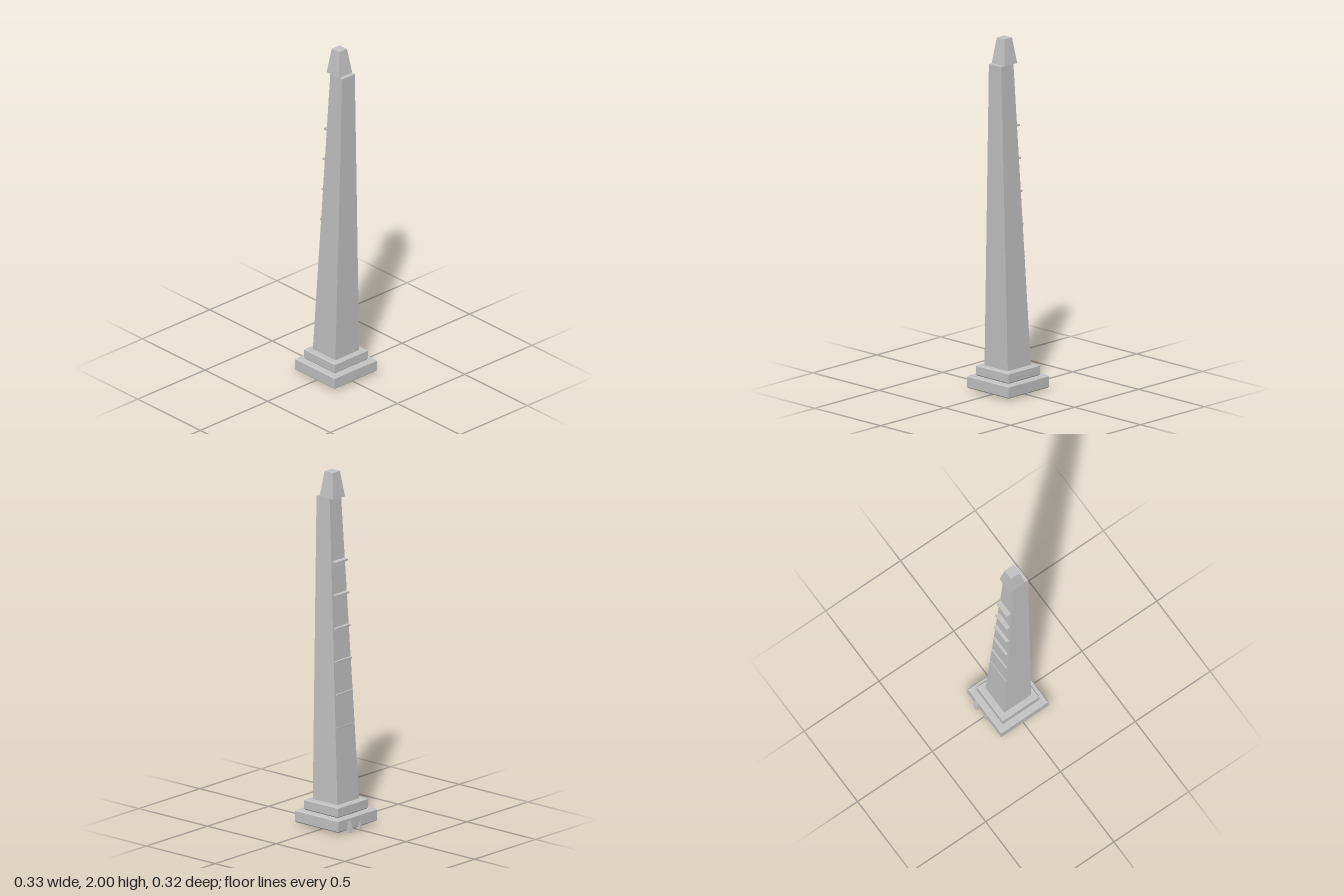
import * as THREE from 'three';

const stone = new THREE.MeshStandardMaterial({ color: 0xc4c4c4, flatShading: true });
stone.name = 'pale stone';

// Loft through rectangular sections [y, xMin, xMax, zMin, zMax], closed at both ends
function loft(name, sections) {
  const pos = [], idx = [];
  for (const [y, x0, x1, z0, z1] of sections) pos.push(x0, y, z1, x1, y, z1, x1, y, z0, x0, y, z0);
  for (let s = 0; s < sections.length - 1; s++) {
    for (let i = 0; i < 4; i++) {
      const a = s * 4 + i, b = s * 4 + (i + 1) % 4;
      idx.push(a, b, b + 4, a, b + 4, a + 4);
    }
  }
  const t = (sections.length - 1) * 4;
  idx.push(0, 2, 1, 0, 3, 2, t, t + 1, t + 2, t, t + 2, t + 3);
  const indexed = new THREE.BufferGeometry();
  indexed.setAttribute('position', new THREE.Float32BufferAttribute(pos, 3));
  indexed.setIndex(idx);
  const geo = indexed.toNonIndexed();
  geo.computeVertexNormals();
  const mesh = new THREE.Mesh(geo, stone);
  mesh.name = name;
  return mesh;
}

// Square slab with chamfered top and bottom edges
function slab(name, y0, y1, cx, cz, half, c) {
  const ring = (y, h) => [y, cx - h, cx + h, cz - h, cz + h];
  return loft(name, [ring(y0, half - c), ring(y0 + c, half), ring(y1 - c, half), ring(y1, half - c)]);
}

// Thin triangular chip extruded upwards from a plan outline of [x, z] points
function chip(name, points, y, height) {
  const shape = new THREE.Shape(points.map(([x, z]) => new THREE.Vector2(x, -z)));
  const geo = new THREE.ExtrudeGeometry(shape, { depth: height, bevelEnabled: false });
  geo.rotateX(-Math.PI / 2);
  const mesh = new THREE.Mesh(geo, stone);
  mesh.name = name;
  mesh.position.y = y;
  return mesh;
}

export function createModel() {
  const model = new THREE.Group();
  model.name = 'leaning obelisk';

  // Stepped plinth
  model.add(slab('lowerPlinth', 0.013, 0.083, 0.007, -0.002, 0.158, 0.006));
  model.add(slab('upperPlinth', 0.083, 0.143, 0.007, -0.002, 0.123, 0.006));

  // Tapering shaft and the offset cap
  model.add(loft('shaft', [
    [0.13, -0.082, 0.098, -0.09, 0.088],
    [1.856, 0.012, 0.108, -0.048, 0.045],
  ]));
  model.add(loft('cap', [
    [1.855, -0.015, 0.085, -0.05, 0.047],
    [2.0, 0.005, 0.064, -0.031, 0.028],
  ]));

  // Ledges across the sloping side
  for (let i = 0; i < 6; i++) {
    const ledge = new THREE.Mesh(new THREE.BoxGeometry(0.05, 0.01, 0.142 - i * 0.0092), stone);
    ledge.name = 'ledge' + (i + 1);
    ledge.position.set(-0.037 + i * 0.005, 0.57 + i * 0.186, -0.001);
    model.add(ledge);
  }

  // Broken fragments leaning against the plinth
  const fragments = new THREE.Group();
  fragments.name = 'fragments';
  fragments.add(loft('tallFragment', [
    [0, -0.168, -0.14, -0.085, -0.055],
    [0.06, -0.154, -0.14, -0.083, -0.06],
  ]));
  fragments.add(loft('smallFragment', [
    [0, -0.16, -0.14, 0.003, 0.021],
    [0.045, -0.153, -0.14, 0.008, 0.018],
  ]));
  // Flat chips beneath the plinth
  fragments.add(chip('backChip', [[-0.16, -0.08], [-0.145, -0.05], [-0.075, -0.07], [-0.085, -0.1]], 0.003, 0.013));
  fragments.add(chip('middleChip', [[-0.157, 0.018], [-0.08, 0.03], [-0.09, 0.0], [-0.15, 0.0]], 0.005, 0.011));
  fragments.add(chip('frontChip', [[0.05, 0.06], [0.06, 0.1], [0.12, 0.09], [0.11, 0.05]], 0.007, 0.009));
  model.add(fragments);
  return model;
}
